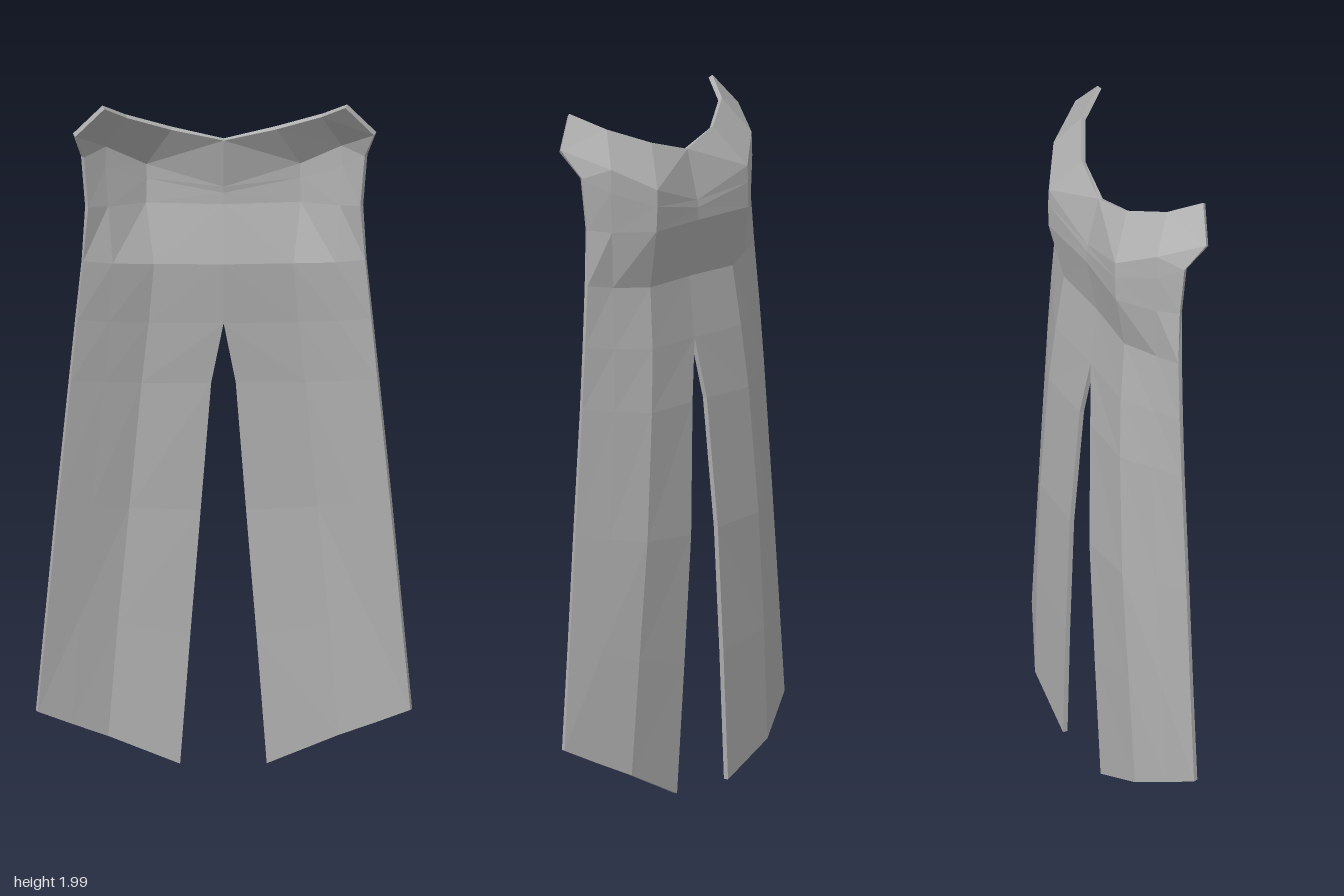
import * as THREE from 'three';

const THICKNESS = 0.014;

// Cross-sections of the left half, top to bottom; each runs centre -> outer edge.
const ROWS = [
  [[0, 1.855, -0.05], [0.15, 1.893, -0.033], [0.28, 1.945, 0.03], [0.347, 1.992, 0.112]], // collar rim
  [[0, 1.71, -0.085], [0.22, 1.775, -0.103], [0.34, 1.845, -0.03], [0.43, 1.903, 0.082]], // collar fold
  [[0, 1.69, -0.088], [0.22, 1.73, -0.104], [0.342, 1.78, -0.03], [0.405, 1.825, 0.025]],
  [[0, 1.655, -0.088], [0.222, 1.658, -0.102], [0.335, 1.665, -0.03], [0.393, 1.675, 0.016]], // waist
  [[0, 1.487, -0.055], [0.2, 1.487, -0.064], [0.32, 1.5, -0.02], [0.405, 1.515, 0.008]],
  [[0, 1.31, -0.075], [0.215, 1.31, -0.083], [0.33, 1.325, -0.035], [0.423, 1.34, 0.003]], // top of the slit
  [[0.035, 1.13, -0.093], [0.235, 1.13, -0.095], [0.345, 1.145, -0.045], [0.441, 1.16, 0]],
  [[0.065, 0.75, -0.11], [0.27, 0.76, -0.105], [0.38, 0.78, -0.05], [0.477, 0.8, -0.002]],
  [[0.095, 0.38, -0.108], [0.303, 0.42, -0.1], [0.415, 0.45, -0.05], [0.507, 0.48, -0.004]],
  [[0.124, 0.005, -0.103], [0.33, 0.09, -0.093], [0.436, 0.138, -0.047], [0.535, 0.185, -0.005]], // hem
];
const SLIT_ROW = 5;
const LAST = ROWS.length - 1;
const COLS = ROWS[0].length;

// Front and back faces of the sheet, offset along the smoothed surface normal.
function thicken() {
  const at = (r, c) => new THREE.Vector3(...ROWS[r][c]);
  const layers = { front: [], back: [] };
  for (let r = 0; r <= LAST; r++) {
    layers.front.push([]);
    layers.back.push([]);
    for (let c = 0; c < COLS; c++) {
      const across = at(r, Math.min(c + 1, COLS - 1)).sub(at(r, Math.max(c - 1, 0)));
      const up = at(Math.max(r - 1, 0), c).sub(at(Math.min(r + 1, LAST), c));
      const n = across.cross(up);
      if (ROWS[r][c][0] === 0) n.x = 0;
      n.normalize().multiplyScalar(THICKNESS / 2);
      layers.front[r].push(at(r, c).add(n));
      layers.back[r].push(at(r, c).sub(n));
    }
  }
  return layers;
}

// One band of cloth between two rows, on one side (+1 left, -1 right).
function bandGeometry({ front, back }, from, to, side) {
  const pos = [];
  const tri = (a, b, c) => {
    for (const p of side > 0 ? [a, b, c] : [a, c, b]) pos.push(p.x * side, p.y, p.z);
  };
  const quad = (a, b, c, d) => { tri(a, b, c); tri(a, c, d); };
  for (let r = from; r < to; r++) {
    for (let c = 0; c < COLS - 1; c++) {
      quad(front[r][c], front[r + 1][c], front[r + 1][c + 1], front[r][c + 1]);
      quad(back[r][c], back[r][c + 1], back[r + 1][c + 1], back[r + 1][c]);
      // rim and hem edges
      if (r === 0) quad(back[0][c], front[0][c], front[0][c + 1], back[0][c + 1]);
      if (r + 1 === LAST) quad(front[LAST][c], back[LAST][c], back[LAST][c + 1], front[LAST][c + 1]);
    }
    // outer edge
    const o = COLS - 1;
    quad(front[r][o], front[r + 1][o], back[r + 1][o], back[r][o]);
    // slit edge
    if (r >= SLIT_ROW) quad(back[r][0], back[r + 1][0], front[r + 1][0], front[r][0]);
  }
  const g = new THREE.BufferGeometry();
  g.setAttribute('position', new THREE.Float32BufferAttribute(pos, 3));
  g.computeVertexNormals();
  return g;
}

export function createModel() {
  const model = new THREE.Group();
  model.name = 'splitCape';
  const cloth = new THREE.MeshStandardMaterial({ color: 0xb0b0b0, flatShading: true });
  cloth.name = 'grey cloth';

  const layers = thicken();
  const bands = [['collar', 0, 1], ['shoulderBand', 1, 4], ['tail', 4, LAST]];
  for (const [name, from, to] of bands) {
    for (const side of [1, -1]) {
      const mesh = new THREE.Mesh(bandGeometry(layers, from, to, side), cloth);
      mesh.name = name + (side > 0 ? 'Left' : 'Right');
      model.add(mesh);
    }
  }
  return model;
}
